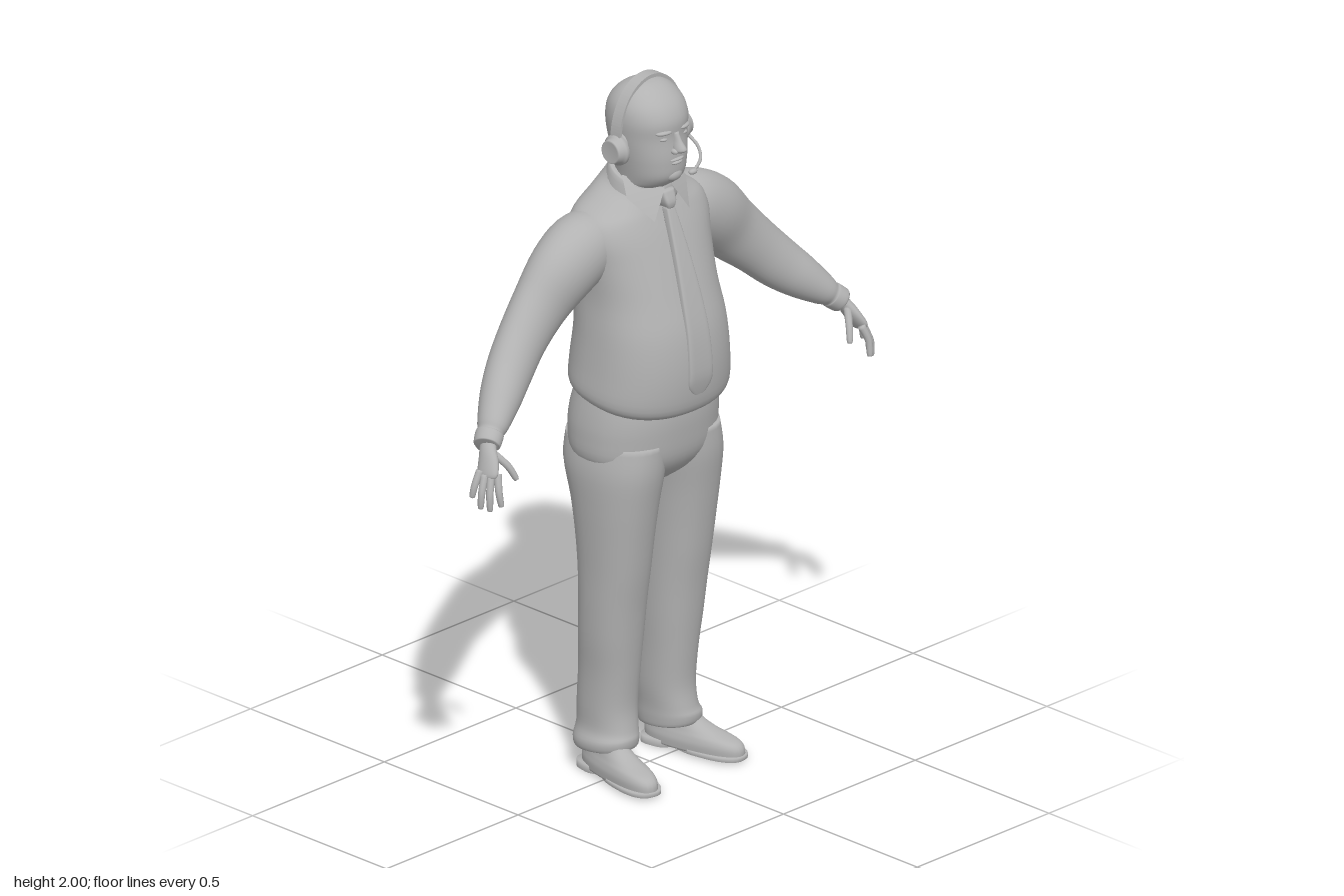
import * as THREE from 'three';

const grey = new THREE.MeshStandardMaterial({ color: 0xb2b2b2, side: THREE.DoubleSide });
grey.name = 'plain grey';

const spow = (v, p) => Math.sign(v) * Math.pow(Math.abs(v), 2 / p);
const V3 = (x, y, z) => new THREE.Vector3(x, y, z);

// Smoothly interpolate rows of numbers
function refine(rows, sub) {
  const out = [], at = i => rows[Math.min(Math.max(i, 0), rows.length - 1)];
  for (let i = 0; i < rows.length - 1; i++) {
    for (let k = 0; k < sub; k++) {
      const t = k / sub, a = at(i - 1), b = at(i), c = at(i + 1), d = at(i + 2);
      out.push(b.map((_, j) => 0.5 * (2 * b[j] + (c[j] - a[j]) * t +
        (2 * a[j] - 5 * b[j] + 4 * c[j] - d[j]) * t * t +
        (3 * b[j] - a[j] - 3 * c[j] + d[j]) * t * t * t)));
    }
  }
  out.push(rows[rows.length - 1]);
  return out;
}

// Loft through rows [x, y, z, radiusU, radiusV, tilt]; upright keeps sections level
function loft(rows, { n = 32, sub = 4, p = 2, upright = false } = {}) {
  const R = refine(rows, sub), pos = [], idx = [];
  const c = R.map(r => V3(r[0], r[1], r[2]));
  R.forEach((r, i) => {
    const T = upright ? V3(0, 1, 0)
      : c[Math.min(i + 1, c.length - 1)].clone().sub(c[Math.max(i - 1, 0)]).normalize();
    const V = V3(0, 0, 1).addScaledVector(T, -T.z).normalize();
    const U = V.clone().cross(T);
    for (let j = 0; j < n; j++) {
      const a = j / n * Math.PI * 2;
      const u = spow(Math.cos(a), p) * Math.max(r[3], 0.0005);
      const v = spow(Math.sin(a), p) * Math.max(r[4], 0.0005);
      const q = c[i].clone().addScaledVector(U, u).addScaledVector(V, v);
      pos.push(q.x, q.y + (r[5] || 0) * v, q.z);
    }
  });
  for (let i = 0; i < R.length - 1; i++) {
    for (let j = 0; j < n; j++) {
      const k = (j + 1) % n, a = i * n + j, b = i * n + k;
      idx.push(a, b, a + n, b, b + n, a + n);
    }
  }
  // end caps
  const last = (R.length - 1) * n, m = R.length * n;
  pos.push(...c[0].toArray(), ...c[c.length - 1].toArray());
  for (let j = 0; j < n; j++) {
    const k = (j + 1) % n;
    idx.push(m, k, j, m + 1, last + j, last + k);
  }
  const g = new THREE.BufferGeometry();
  g.setAttribute('position', new THREE.Float32BufferAttribute(pos, 3));
  g.setIndex(idx);
  g.computeVertexNormals();
  return g;
}

// Upright loft through rows [y, centreX, halfWidth, frontZ, backZ, tilt], bottom to top
const body = (rows, opt) => loft(rows.map(([y, x, w, f, b, t = 0]) =>
  [x, y, (f + b) / 2, w, (f - b) / 2, t]), { upright: true, ...opt });

export function createModel() {
  const model = new THREE.Group();
  const add = (name, geo, parent = model) => {
    const m = new THREE.Mesh(geo, grey);
    m.name = name;
    parent.add(m);
    return m;
  };
  const ball = (name, x, y, z, a, b, c, parent) => {
    const m = add(name, new THREE.SphereGeometry(1, 20, 14), parent);
    m.position.set(x, y, z);
    m.scale.set(a, b, c);
    return m;
  };

  // Shirt with rolled hem and belly
  add('shirt', body([
    [1.10, 0, 0.185, 0.13, -0.16, -0.18], [1.098, 0, 0.205, 0.16, -0.18, -0.18],
    [1.125, 0, 0.224, 0.183, -0.19, -0.14], [1.2, 0, 0.218, 0.191, -0.19, -0.03],
    [1.3, 0, 0.208, 0.18, -0.18, 0], [1.4, 0, 0.2, 0.15, -0.188, 0],
    [1.5, 0, 0.21, 0.115, -0.187, 0], [1.57, 0, 0.222, 0.088, -0.18, 0],
    [1.62, 0, 0.205, 0.068, -0.165, -0.05], [1.655, 0, 0.15, 0.057, -0.147, -0.15],
    [1.685, 0, 0.106, 0.05, -0.128, -0.28], [1.705, 0, 0.09, 0.048, -0.115, -0.35],
  ], { n: 48, p: 2.3 }));

  // Collar band, higher at the nape
  add('collar', body([
    [1.67, 0, 0.105, 0.062, -0.128, -0.3], [1.695, 0, 0.1, 0.062, -0.122, -0.32],
    [1.72, 0, 0.093, 0.06, -0.114, -0.33], [1.722, 0, 0.086, 0.053, -0.106, -0.33],
  ], { sub: 2 }));

  // Tie with knot
  add('tie', body([
    [1.112, 0, 0.003, 0.183], [1.15, 0, 0.04, 0.193], [1.2, 0, 0.044, 0.198],
    [1.3, 0, 0.041, 0.188], [1.4, 0, 0.036, 0.163], [1.5, 0, 0.028, 0.132],
    [1.6, 0, 0.019, 0.096], [1.64, 0, 0.014, 0.08],
  ].map(r => [...r, r[3] - 0.025]), { sub: 3, p: 5, n: 24 }));
  add('tieKnot', body([
    [1.636, 0, 0.013, 0.084, 0.05], [1.655, 0, 0.02, 0.086, 0.045], [1.685, 0, 0.023, 0.074, 0.03],
  ], { p: 4 }));

  // Trousers: seat section
  add('trouserSeat', body([
    [0.84, 0, 0.07, 0.05, -0.09], [0.88, 0, 0.15, 0.1, -0.14],
    [0.93, 0, 0.212, 0.13, -0.178], [1.0, 0, 0.219, 0.14, -0.19],
    [1.06, 0, 0.213, 0.142, -0.186], [1.12, 0, 0.2, 0.135, -0.17],
  ], { n: 40, p: 2.3 }));

  for (const s of [1, -1]) {
    const side = new THREE.Group();
    side.name = s > 0 ? 'leftLimbs' : 'rightLimbs';
    model.add(side);
    const mirrored = rows => rows.map(([x, ...r]) => [s * x, ...r]);

    // Trouser leg with a slumped hem
    add('trouserLeg', body([
      [0.085, 0.12, 0.055, 0.02, -0.1, 0.1], [0.075, 0.12, 0.07, 0.045, -0.132, 0.1],
      [0.1, 0.12, 0.074, 0.052, -0.142, 0.1], [0.135, 0.113, 0.068, 0.045, -0.138, 0],
      [0.2, 0.11, 0.071, 0.037, -0.137, 0], [0.3, 0.11, 0.074, 0.045, -0.13, 0],
      [0.4, 0.113, 0.081, 0.056, -0.123, 0], [0.5, 0.115, 0.085, 0.068, -0.118, 0],
      [0.6, 0.116, 0.088, 0.084, -0.12, 0], [0.7, 0.117, 0.093, 0.098, -0.128, 0],
      [0.8, 0.116, 0.1, 0.113, -0.145, 0], [0.9, 0.11, 0.109, 0.128, -0.176, 0],
      [0.98, 0.1, 0.105, 0.128, -0.178, 0],
    ].map(([y, x, ...r]) => [y, s * x, ...r]), { p: 2.2 }), side);

    // Shoe, toes turned out
    const shoe = new THREE.Group();
    shoe.name = 'shoe';
    shoe.position.x = s * 0.137;
    shoe.rotation.y = s * 0.19;
    side.add(shoe);
    add('shoeUpper', body([
      [0.012, 0, 0.05, 0.184, -0.124], [0.035, 0, 0.051, 0.182, -0.126],
      [0.052, 0, 0.047, 0.163, -0.124], [0.066, 0, 0.042, 0.11, -0.122],
      [0.085, 0, 0.038, 0.06, -0.118], [0.11, 0, 0.034, 0.03, -0.11],
    ], { p: 2.4 }), shoe);
    add('shoeSole', body([
      [0.005, 0, 0.05, 0.184, -0.02], [0.006, 0, 0.053, 0.188, -0.02], [0.018, 0, 0.053, 0.188, -0.02],
    ], { p: 2.6, sub: 1 }), shoe);
    add('shoeHeel', body([
      [0, 0, 0.046, -0.03, -0.127], [0.001, 0, 0.048, -0.028, -0.129], [0.022, 0, 0.048, -0.02, -0.129],
    ], { p: 3, sub: 1 }), shoe);

    // Sleeve sweeping down and forward
    add('sleeve', loft(mirrored([
      [0.12, 1.565, -0.065, 0.07, 0.085], [0.2, 1.54, -0.06, 0.1, 0.092],
      [0.28, 1.497, -0.055, 0.102, 0.085], [0.36, 1.425, -0.056, 0.09, 0.068],
      [0.44, 1.352, -0.045, 0.078, 0.062], [0.51, 1.285, -0.025, 0.071, 0.06],
      [0.57, 1.233, 0.002, 0.06, 0.055], [0.625, 1.187, 0.03, 0.043, 0.044],
      [0.643, 1.172, 0.038, 0.034, 0.037], [0.65, 1.166, 0.041, 0.036, 0.04],
      [0.672, 1.148, 0.053, 0.034, 0.037], [0.673, 1.147, 0.0535, 0.026, 0.029],
    ])), side);

    // Hand and fingers
    add('palm', loft(mirrored([
      [0.655, 1.165, 0.045, 0.019, 0.023], [0.675, 1.14, 0.06, 0.018, 0.025],
      [0.691, 1.108, 0.077, 0.017, 0.033], [0.705, 1.08, 0.089, 0.014, 0.034],
      [0.709, 1.07, 0.093, 0.008, 0.026],
    ]), { n: 20 }), side);
    const fingers = [
      [[0.69, 1.085, 0.112], [0.702, 1.045, 0.127], [0.7, 1.005, 0.134]],
      [[0.704, 1.08, 0.1], [0.722, 1.035, 0.113], [0.724, 0.994, 0.116]],
      [[0.713, 1.082, 0.086], [0.733, 1.04, 0.094], [0.737, 0.999, 0.094]],
      [[0.715, 1.092, 0.07], [0.735, 1.055, 0.07], [0.742, 1.024, 0.067]],
      [[0.672, 1.13, 0.078], [0.648, 1.095, 0.108], [0.634, 1.06, 0.124]],
    ];
    fingers.forEach(([a, b, c], i) => {
      const tip = c.map((v, k) => v + (c[k] - b[k]) * 0.1);
      add(i < 4 ? 'finger' : 'thumb', loft(mirrored([
        [...a, 0.011, 0.011], [...b, 0.01, 0.01], [...c, 0.008, 0.008], [...tip, 0.003, 0.003],
      ]), { n: 10 }), side);
    });

    // Collar point
    const flap = new THREE.BufferGeometry();
    flap.setAttribute('position', new THREE.Float32BufferAttribute([
      s * 0.014, 1.695, 0.07, s * 0.066, 1.615, 0.084, s * 0.112, 1.68, 0.025, s * 0.09, 1.73, -0.015], 3));
    flap.setIndex(s > 0 ? [0, 1, 2, 0, 2, 3] : [0, 2, 1, 0, 3, 2]);
    flap.computeVertexNormals();
    add('collarPoint', flap, side);
  }

  // Head and neck
  const head = new THREE.Group();
  head.name = 'head';
  model.add(head);
  add('skull', body([
    [1.64, 0, 0.075, 0.035, -0.1], [1.69, 0, 0.078, 0.055, -0.1], [1.71, 0, 0.08, 0.082, -0.1],
    [1.735, 0, 0.084, 0.1, -0.1], [1.77, 0, 0.09, 0.104, -0.104], [1.8, 0, 0.095, 0.104, -0.112],
    [1.845, 0, 0.101, 0.1, -0.121], [1.89, 0, 0.104, 0.101, -0.123], [1.93, 0, 0.096, 0.084, -0.112],
    [1.962, 0, 0.073, 0.052, -0.085], [1.98, 0, 0.042, 0.02, -0.05], [1.986, 0, 0.005, -0.01, -0.018],
  ], { n: 40, p: 2.15 }), head);
  add('nose', body([
    [1.803, 0, 0.009, 0.112, 0.085], [1.811, 0, 0.016, 0.13, 0.085], [1.82, 0, 0.015, 0.135, 0.085],
    [1.84, 0, 0.01, 0.119, 0.08], [1.862, 0, 0.009, 0.106, 0.08],
  ], { n: 16 }), head);
  ball('upperLip', 0, 1.785, 0.099, 0.026, 0.005, 0.012, head);
  ball('lowerLip', 0, 1.775, 0.098, 0.022, 0.006, 0.012, head);
  ball('chin', 0, 1.737, 0.086, 0.03, 0.02, 0.02, head);
  for (const s of [1, -1]) {
    ball('nostril', s * 0.014, 1.811, 0.106, 0.009, 0.008, 0.013, head);
    ball('eye', s * 0.037, 1.848, 0.086, 0.014, 0.006, 0.012, head);
    ball('brow', s * 0.038, 1.867, 0.089, 0.025, 0.007, 0.013, head).rotation.y = s * 0.3;
    ball('ear', s * 0.1, 1.82, -0.005, 0.012, 0.036, 0.022, head);
  }

  // Headset: flat band over the skull, ear cups and microphone boom
  const headset = new THREE.Group();
  headset.name = 'headset';
  model.add(headset);
  const arch = new THREE.Shape();
  arch.absellipse(0, 1.84, 0.122, 0.16, -0.1, Math.PI + 0.1, false);
  arch.absellipse(0, 1.84, 0.114, 0.15, Math.PI + 0.1, -0.1, true);
  add('headband', new THREE.ExtrudeGeometry(arch, { depth: 0.034, bevelEnabled: false, curveSegments: 32 }), headset)
    .position.z = -0.027;
  const cupProfile = [[0, 0], [0.036, 0], [0.043, 0.006], [0.043, 0.016], [0.036, 0.02],
    [0.033, 0.036], [0.03, 0.039], [0.028, 0.036], [0, 0.036]].map(p => new THREE.Vector2(...p));
  for (const s of [1, -1]) {
    const cup = add('earCup', new THREE.LatheGeometry(cupProfile, 32), headset);
    cup.position.set(s * 0.105, 1.813, -0.008);
    cup.rotation.z = -s * Math.PI / 2;
  }
  const boom = new THREE.CatmullRomCurve3([V3(0.122, 1.795, 0.02), V3(0.112, 1.777, 0.07),
    V3(0.075, 1.762, 0.115), V3(0.03, 1.75, 0.135)]);
  add('microphoneBoom', new THREE.TubeGeometry(boom, 24, 0.0045, 8), headset);
  ball('microphone', 0.026, 1.75, 0.136, 0.014, 0.008, 0.009, headset);
  return model;
}
